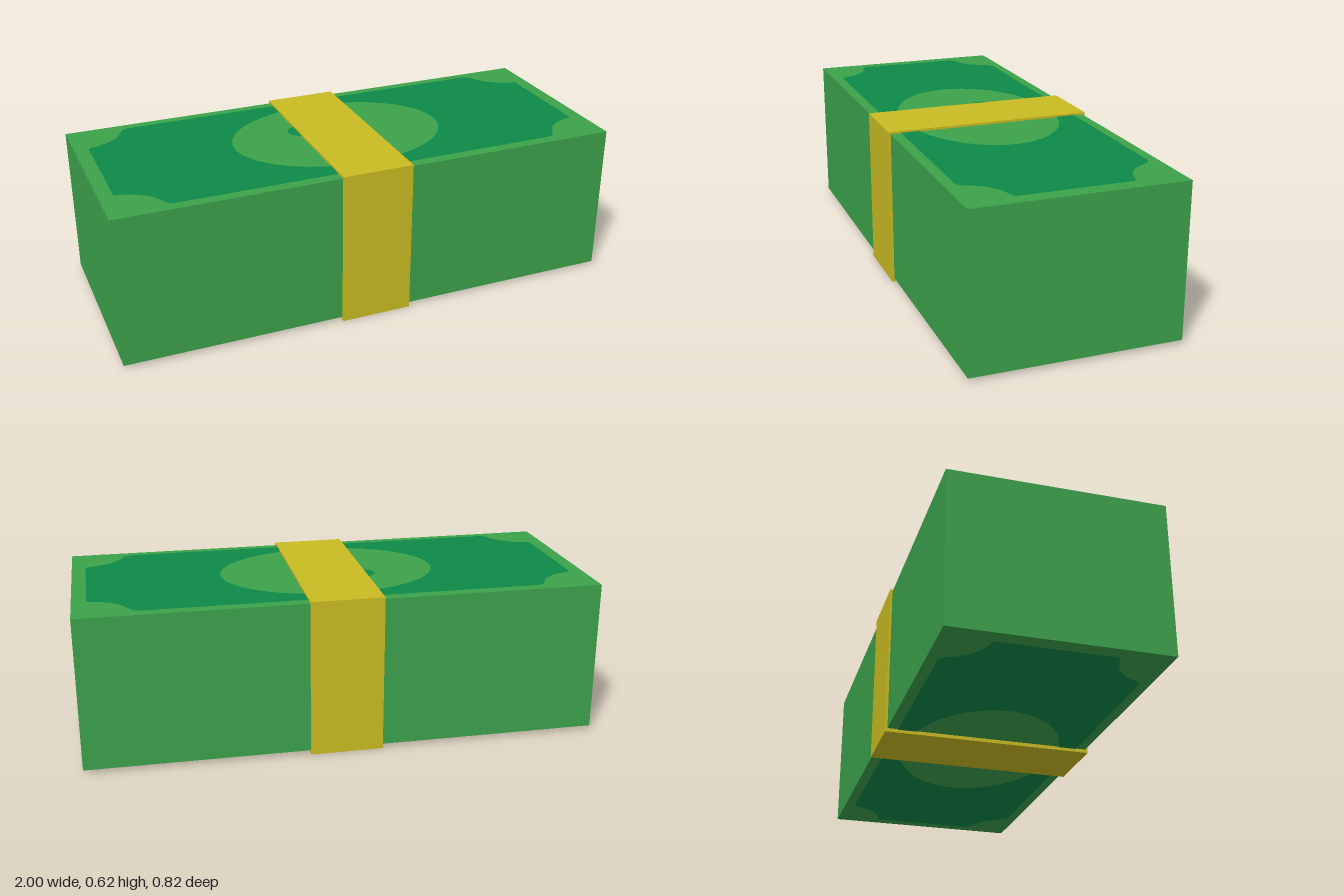
import * as THREE from 'three';

const bill = new THREE.MeshStandardMaterial({ color: 0x3ca24b });
bill.name = 'billGreen';
const ink = new THREE.MeshStandardMaterial({ color: 0x0e8847 });
ink.name = 'inkGreen';
const paper = new THREE.MeshStandardMaterial({ color: 0xcabc22 });
paper.name = 'bandYellow';

const BOTTOM = 0.014, TOP = 0.608, LIFT = 0.002;

// Printed panel: scooped corners and an oval window
function panelShape() {
  const s = new THREE.Shape();
  // one corner, listed from the short edge to the long edge
  const corner = (sx, sy, reverse) => {
    const p = [[0.945, 0.212], [0.937, 0.222], [0.915, 0.226], [0.87, 0.243], [0.828, 0.274],
      [0.803, 0.31], [0.79, 0.338], [0.778, 0.353], [0.76, 0.36]];
    return (reverse ? p.reverse() : p).map(([x, y]) => new THREE.Vector2(x * sx, y * sy));
  };
  s.setFromPoints([...corner(1, 1), ...corner(-1, 1, true), ...corner(-1, -1), ...corner(1, -1, true)]);
  const oval = new THREE.Path();
  oval.absellipse(0, 0, 0.425, 0.305, 0, Math.PI * 2, true);
  s.holes.push(oval);
  return s;
}

export function createModel() {
  const group = new THREE.Group();
  const add = (name, geometry, material, x, y, z) => {
    const mesh = new THREE.Mesh(geometry, material);
    mesh.name = name;
    mesh.position.set(x, y, z);
    group.add(mesh);
    return mesh;
  };

  // Stack of notes
  add('noteStack', new THREE.BoxGeometry(2, TOP - BOTTOM, 0.8), bill, 0, (TOP + BOTTOM) / 2, 0);

  // Printed panels on the top and bottom
  const panel = new THREE.ShapeGeometry(panelShape(), 24);
  add('topPanel', panel, ink, 0, TOP + LIFT, 0).rotation.x = -Math.PI / 2;
  add('bottomPanel', panel, ink, 0, BOTTOM - LIFT, 0).rotation.x = Math.PI / 2;

  // Edge of the central mark, mostly hidden under the band
  const mark = new THREE.Shape();
  mark.absellipse(0, 0, 0.05, 0.05, 0, Math.PI * 2);
  add('centreMark', new THREE.ShapeGeometry(mark, 16), ink, -0.13, TOP + LIFT, -0.07).rotation.x = -Math.PI / 2;

  // Paper band: a rectangular loop around the stack
  const loop = new THREE.Shape();
  const rect = (path, z, y0, y1) => path.setFromPoints(
    [[-z, y0], [z, y0], [z, y1], [-z, y1]].map(([a, b]) => new THREE.Vector2(a, b)));
  rect(loop, 0.409, 0, 0.617);
  const inner = new THREE.Path();
  rect(inner, 0.399, BOTTOM + 0.001, TOP - 0.001);
  loop.holes.push(inner);
  const band = new THREE.ExtrudeGeometry(loop, { depth: 0.282, bevelEnabled: false });
  band.translate(0, 0, -0.141);
  band.rotateY(Math.PI / 2);
  add('paperBand', band, paper, 0, 0, 0);

  return group;
}
